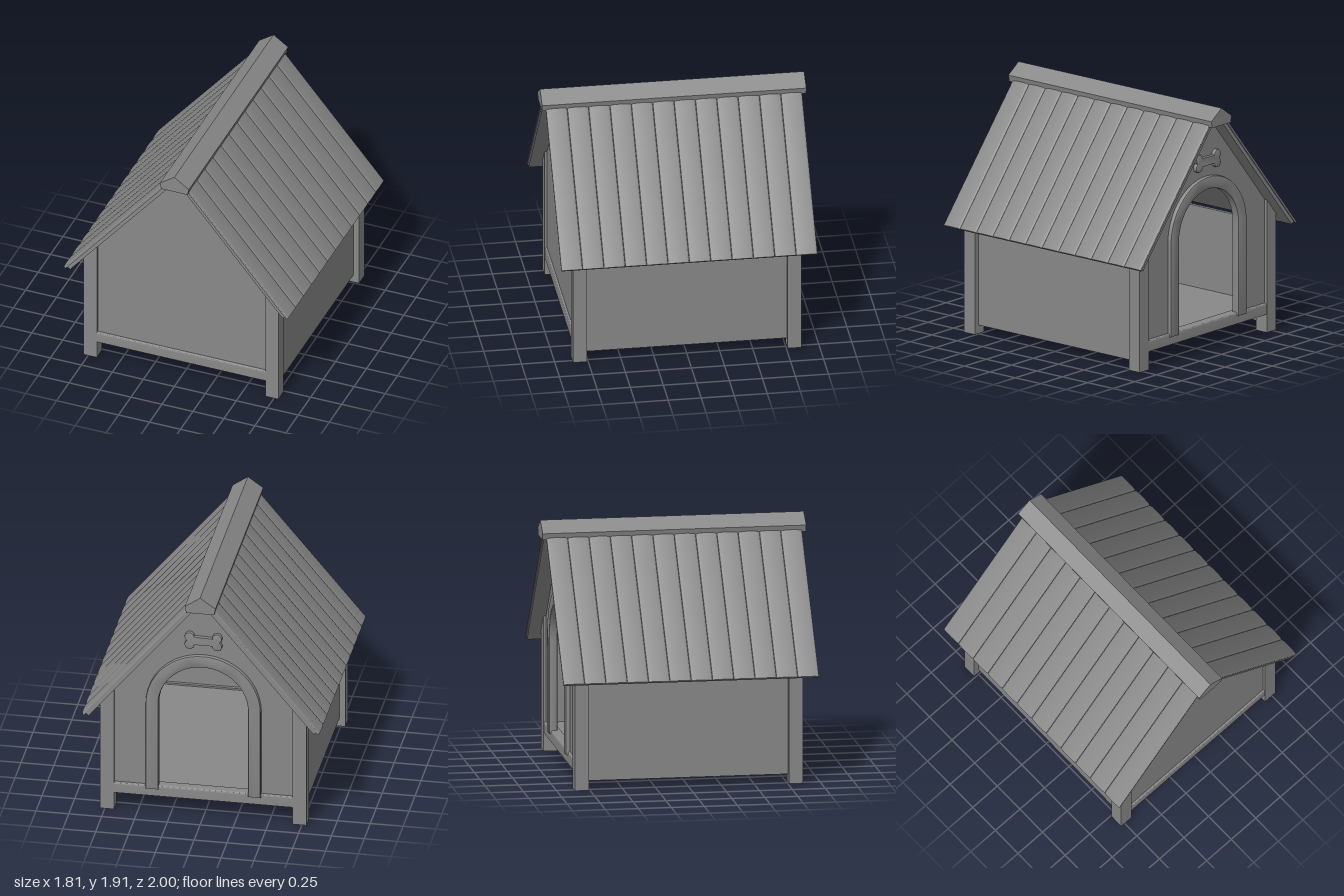
import * as THREE from 'three';
import { toCreasedNormals } from 'three/addons/utils/BufferGeometryUtils.js';

const COLOR = 0x888888;
const grey = new THREE.MeshStandardMaterial({ color: COLOR });
const thin = new THREE.MeshStandardMaterial({ color: COLOR, side: THREE.DoubleSide, flatShading: true });
const SLOPE = 1.2, PEAK = 1.85;                    // underside of the roof: y = PEAK - SLOPE * |x|
const ARCH_Y = 0.92;                               // centre height of the round door top
const roofY = x => PEAK - SLOPE * Math.abs(x);

export function createModel() {
  const model = new THREE.Group();

  const add = (name, geometry, parent = model, material = grey) => {
    const mesh = new THREE.Mesh(geometry, material);
    mesh.name = name;
    parent.add(mesh);
    return mesh;
  };
  const polygon = pts => new THREE.Shape(pts.map(p => new THREE.Vector2(...p)));
  const box = (x0, x1, y0, y1, z0, z1) =>
    new THREE.BoxGeometry(x1 - x0, y1 - y0, z1 - z0)
      .translate((x0 + x1) / 2, (y0 + y1) / 2, (z0 + z1) / 2);
  const extrude = (shape, depth, options = {}) =>
    toCreasedNormals(new THREE.ExtrudeGeometry(shape,
      { depth, bevelEnabled: false, curveSegments: 20, ...options }), 0.6);

  // Corner posts: hollow square tubes cut to the roof slope
  for (const sx of [-1, 1]) for (const sz of [-1, 1]) {
    const g = new THREE.CylinderGeometry(0.0745, 0.0745, 1, 4, 1, true)
      .rotateY(Math.PI / 4).translate(sx * 0.7325, 0.5, sz * 0.8125);
    const p = g.attributes.position;
    for (let i = 0; i < p.count; i++) if (p.getY(i) > 0.5) p.setY(i, roofY(p.getX(i)));
    add('cornerPost', g, model, thin);
  }

  // Gable walls, the rear one with a round-topped doorway
  const gable = () => polygon([[-0.72, 0.15], [0.72, 0.15], [0.72, roofY(0.72)],
    [0, PEAK], [-0.72, roofY(0.72)]]);
  add('frontWall', extrude(gable(), 0.03)).position.z = 0.815;
  const doorway = new THREE.Path();
  doorway.moveTo(-0.35, 0.22);
  doorway.lineTo(0.35, 0.22);
  doorway.lineTo(0.35, ARCH_Y);
  doorway.absarc(0, ARCH_Y, 0.35, 0, Math.PI, false);
  doorway.closePath();
  const doorWall = gable();
  doorWall.holes.push(doorway);
  add('doorWall', extrude(doorWall, 0.03)).position.z = -0.845;

  // Side walls stop short of the roof; floor between them
  for (const s of [-1, 1]) {
    add('sideWall', box(-0.015, 0.015, 0.065, 0.85, -0.77, 0.77)).position.x = s * 0.725;
  }
  add('floor', box(-0.72, 0.72, 0.17, 0.215, -0.82, 0.82));

  // Sill beams with a rounded outer top edge
  const sill = new THREE.Shape();
  sill.moveTo(0.79, 0.14);
  sill.lineTo(0.862, 0.14);
  sill.lineTo(0.862, 0.21);
  sill.quadraticCurveTo(0.862, 0.228, 0.845, 0.228);
  sill.lineTo(0.79, 0.228);
  sill.closePath();
  for (const turn of [0, Math.PI]) {
    const g = extrude(sill, 1.36, { curveSegments: 6 }).rotateY(-Math.PI / 2).translate(0.68, 0, 0);
    add('sillBeam', g).rotation.y = turn;
  }

  // Door surround: two legs joined by a half ring
  const frame = new THREE.Shape();
  frame.moveTo(0.352, 0.21);
  frame.lineTo(0.428, 0.21);
  frame.lineTo(0.428, ARCH_Y);
  frame.absarc(0, ARCH_Y, 0.428, 0, Math.PI, false);
  frame.lineTo(-0.428, 0.21);
  frame.lineTo(-0.352, 0.21);
  frame.lineTo(-0.352, ARCH_Y);
  frame.absarc(0, ARCH_Y, 0.352, Math.PI, 0, true);
  frame.closePath();
  add('doorSurround', extrude(frame, 0.045,
    { bevelEnabled: true, bevelSize: 0.01, bevelThickness: 0.01, bevelSegments: 2, curveSegments: 28 }))
    .position.z = -0.868;

  // Bone ornament above the door: a bar with two lobes at each end
  const bone = new THREE.Shape();
  bone.moveTo(-0.08, -0.03);
  bone.lineTo(0.08, -0.03);
  bone.absarc(0.105, -0.032, 0.032, Math.PI, Math.PI * 2.35, false);
  bone.absarc(0.105, 0.032, 0.032, -Math.PI * 0.35, Math.PI, false);
  bone.lineTo(-0.08, 0.03);
  bone.absarc(-0.105, 0.032, 0.032, 0, Math.PI * 1.35, false);
  bone.absarc(-0.105, -0.032, 0.032, Math.PI * 0.65, Math.PI * 2, false);
  add('boneOrnament', extrude(bone, 0.025,
    { bevelEnabled: true, bevelSize: 0.005, bevelThickness: 0.005, bevelSegments: 2, curveSegments: 10 }))
    .position.set(0, 1.48, -0.87);

  // Roof slopes: a backing board carrying twelve slightly crowned planks
  const COUNT = 12, WIDTH = 1.94 / COUNT, h = WIDTH / 2 - 0.001;
  const plank = new THREE.Shape();
  plank.moveTo(-h, 0.028);
  plank.lineTo(h, 0.028);
  plank.lineTo(h, 0.04);
  plank.quadraticCurveTo(h, 0.047, h - 0.012, 0.0485);
  plank.quadraticCurveTo(0, 0.0555, -h + 0.012, 0.0485);
  plank.quadraticCurveTo(-h, 0.047, -h, 0.04);
  plank.closePath();
  const plankGeometry = extrude(plank, 1.265, { curveSegments: 8 }).rotateY(Math.PI / 2);
  for (const turn of [0, Math.PI]) {
    const side = new THREE.Group();
    side.name = 'roofSide';
    side.rotation.y = turn;
    model.add(side);
    const slope = new THREE.Group();
    slope.name = 'roofSlope';
    slope.position.y = PEAK;
    slope.rotation.z = -Math.atan(SLOPE);
    side.add(slope);
    add('backingBoard', box(0, 1.338, 0, 0.028, -0.96, 0.96), slope);
    for (let i = 0; i < COUNT; i++) {
      add('roofPlank', plankGeometry, slope).position.set(0.09, 0, (i - (COUNT - 1) / 2) * WIDTH);
    }
  }

  // Ridge cap
  const cap = polygon([[-0.106, 1.782], [0.106, 1.782], [0.117, 1.833], [0, 1.915], [-0.117, 1.833]]);
  add('ridgeCap', extrude(cap, 2)).position.z = -1;

  return model;
}
